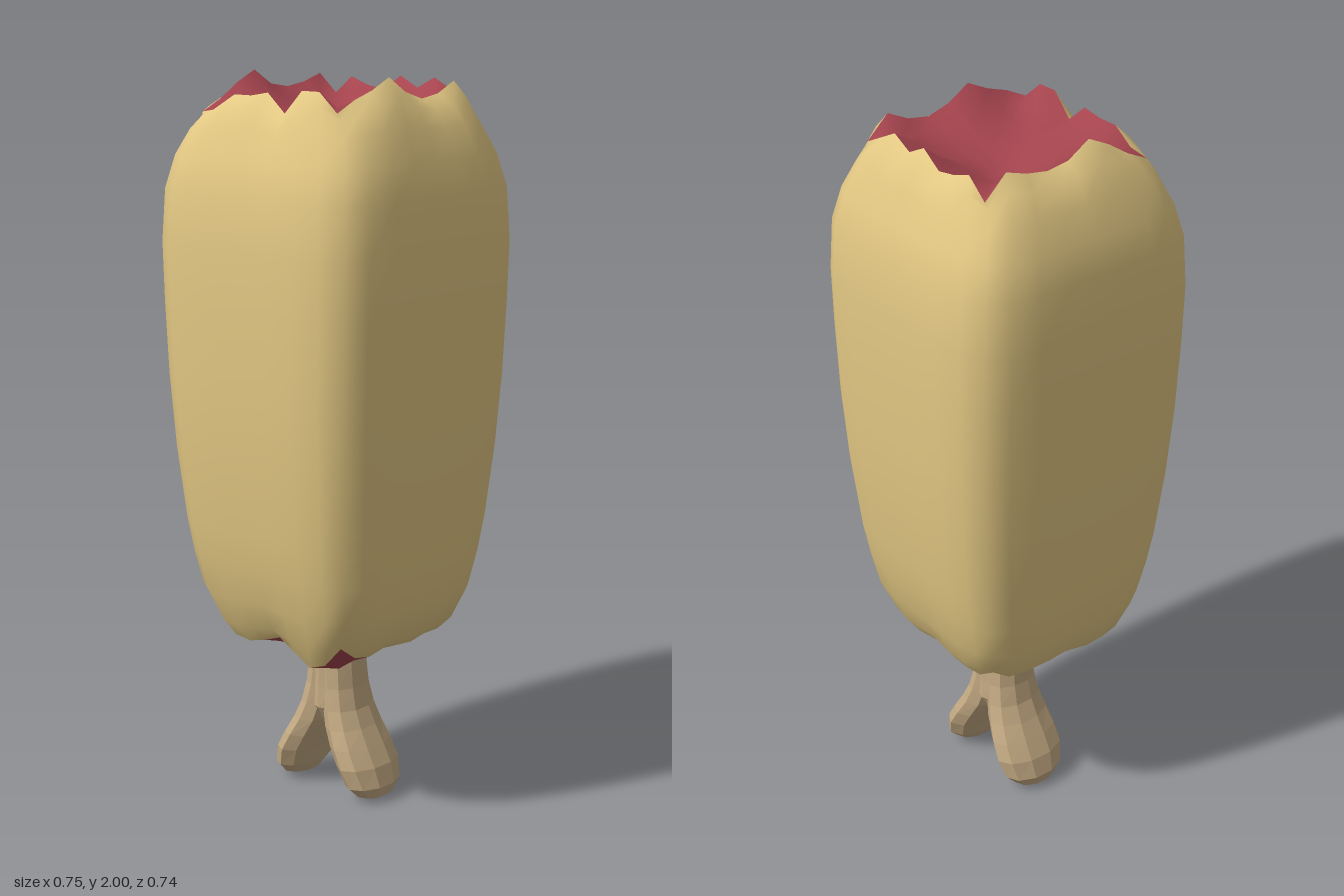
import * as THREE from 'three';

const N = 8; // segments along each side of the square

// Rim heights, anticlockwise from above: front, +x side, back, -x side (each starts at a corner)
const TOP_RIM = [
  1.90, 1.91, 1.95, 1.95, 1.96, 1.91, 1.97, 1.97,
  1.92, 1.95, 1.97, 2.00, 1.96, 1.94, 1.95, 1.98,
  1.92, 1.95, 1.98, 1.95, 1.98, 1.94, 1.95, 1.97,
  1.92, 1.98, 1.96, 1.95, 1.96, 2.00, 1.97, 1.93,
];
const BOTTOM_RIM = [
  0.52, 0.47, 0.465, 0.48, 0.50, 0.47, 0.44, 0.46,
  0.52, 0.48, 0.47, 0.48, 0.475, 0.47, 0.48, 0.48,
  0.52, 0.48, 0.47, 0.48, 0.49, 0.47, 0.47, 0.48,
  0.52, 0.48, 0.47, 0.47, 0.48, 0.47, 0.46, 0.47,
];

function buildGeometry(positions, index) {
  const g = new THREE.BufferGeometry();
  g.setAttribute('position', new THREE.Float32BufferAttribute(positions, 3));
  g.setIndex(index);
  g.computeVertexNormals();
  return g;
}

// Skin closed rings of points, listed from bottom to top
function loft(rings) {
  const n = rings[0].length;
  const index = [];
  for (let r = 0; r < rings.length - 1; r++) {
    for (let k = 0; k < n; k++) {
      const a = r * n + k, b = r * n + (k + 1) % n;
      index.push(a, b, b + n, a, b + n, a + n);
    }
  }
  return buildGeometry(rings.flat(2), index);
}

// k-th point of the perimeter of the square [-1, 1]
function squarePoint(k) {
  const t = -1 + 2 * (k % N) / N;
  return [[t, 1], [1, -t], [-t, -1], [-1, t]][Math.floor(k / N)];
}

// Horizontal ring: rounded square, or sharp square when round is false
function squareRing(hx, hz, height, round = true) {
  return Array.from({ length: 4 * N }, (_, k) => {
    const [u, v] = squarePoint(k);
    const s = round ? (Math.abs(u) ** 5.3 + Math.abs(v) ** 5.3) ** (-1 / 5.3) : 1;
    return [u * s * hx, height(k), v * s * hz];
  });
}

// Uneven surface spanning a rim, settling towards floor(u, v) inside
function cap(hx, hz, rim, floor, up) {
  const at = (k) => rim[k % (4 * N)];
  const positions = [], index = [];
  for (let j = 0; j <= N; j++) {
    for (let i = 0; i <= N; i++) {
      const s = i / N, t = j / N, u = 2 * s - 1, v = 2 * t - 1;
      const across = (1 - s) * at(3 * N + j) + s * at(2 * N - j);
      const along = (1 - t) * at(3 * N - i) + t * at(i);
      // the nearer pair of sides dominates, so the rim itself is met exactly
      const wu = 1 - v * v, wv = 1 - u * u;
      const edge = wu + wv > 0 ? (across * wu + along * wv) / (wu + wv) : across;
      const fade = 1 - Math.max(u * u, v * v);
      positions.push(u * hx, THREE.MathUtils.lerp(edge, floor(u, v), fade), v * hz);
    }
  }
  for (let j = 0; j < N; j++) {
    for (let i = 0; i < N; i++) {
      const a = j * (N + 1) + i, b = a + 1, c = a + N + 1, d = c + 1;
      if (up) index.push(a, c, d, a, d, b);
      else index.push(a, d, c, a, b, d);
    }
  }
  return buildGeometry(positions, index);
}

// Elliptical limb from sections [x, y, z, rx, rz], bottom to top
function limb(sections, sides = 10) {
  return loft(sections.map(([x, y, z, rx, rz]) =>
    Array.from({ length: sides }, (_, k) => {
      const a = (k / sides) * Math.PI * 2;
      return [x + rx * Math.sin(a), y, z + rz * Math.cos(a)];
    })));
}

export function createModel() {
  const group = new THREE.Group();
  const crust = new THREE.MeshStandardMaterial({ color: 0xe4c984, side: THREE.DoubleSide });
  const filling = new THREE.MeshStandardMaterial({ color: 0xa5444e, side: THREE.DoubleSide });
  const bone = new THREE.MeshStandardMaterial({ color: 0xc4aa83, flatShading: true });
  const add = (name, geometry, material) => {
    const mesh = new THREE.Mesh(geometry, material);
    mesh.name = name;
    group.add(mesh);
  };

  // Golden outer body: [y, half width, half depth, follow bottom rim, follow top rim]
  const profile = [
    [0.515, 0.27, 0.255, 0.6, 0], [0.60, 0.303, 0.29, 0.2, 0], [0.70, 0.318, 0.312, 0, 0],
    [0.80, 0.33, 0.33, 0, 0], [1.00, 0.348, 0.352, 0, 0], [1.20, 0.361, 0.365, 0, 0],
    [1.40, 0.37, 0.37, 0, 0], [1.56, 0.375, 0.371, 0, 0], [1.70, 0.367, 0.363, 0, 0],
    [1.79, 0.347, 0.338, 0, 0.05], [1.87, 0.312, 0.308, 0, 0.3], [1.92, 0.282, 0.285, 0, 0.6],
  ];
  add('outerBody', loft([
    squareRing(0.225, 0.225, (k) => BOTTOM_RIM[k], false),
    ...profile.map(([y, hx, hz, low, high]) => squareRing(hx, hz, (k) =>
      y + low * (BOTTOM_RIM[k] - 0.475) + high * (TOP_RIM[k] - 1.95))),
    squareRing(0.24, 0.255, (k) => TOP_RIM[k], false),
  ]), crust);

  // Red ends: a hollow on top and a slightly bulging underside
  add('topFilling', cap(0.24, 0.255, TOP_RIM, (u, v) =>
    1.89 - 0.04 * Math.exp(-4 * ((u + 0.4) ** 2 + (v + 0.35) ** 2)), true), filling);
  add('bottomFilling', cap(0.225, 0.225, BOTTOM_RIM, (u, v) =>
    0.445 - 0.065 * Math.exp(-8 * ((u - 0.45) ** 2 + (v - 0.65) ** 2)), false), filling);

  // Bone handle: a stem that forks into two rounded knuckles
  const cx = -0.014, cz = -0.02;
  add('handleStem', limb([
    [cx, 0.21, cz, 0.004, 0.06], [cx, 0.25, cz, 0.075, 0.082], [cx, 0.31, cz, 0.083, 0.078],
    [cx, 0.38, cz, 0.078, 0.076], [cx, 0.50, cz, 0.077, 0.075],
  ]), bone);
  // centre offset, height, half width, half depth
  const path = [
    [0.142, 0, 0.0001, 0.0001], [0.142, 0.003, 0.02, 0.03], [0.14, 0.015, 0.043, 0.065],
    [0.134, 0.045, 0.057, 0.095], [0.114, 0.10, 0.061, 0.11], [0.087, 0.15, 0.061, 0.107],
    [0.06, 0.20, 0.06, 0.096], [0.042, 0.25, 0.055, 0.086], [0.03, 0.31, 0.053, 0.077],
    [0.024, 0.38, 0.052, 0.073], [0.022, 0.48, 0.05, 0.07],
  ];
  for (const side of [-1, 1]) {
    add(side > 0 ? 'leftKnuckle' : 'rightKnuckle',
      limb(path.map(([x, y, rx, rz]) => [cx + side * x, y, cz, rx, rz])), bone);
  }
  return group;
}
